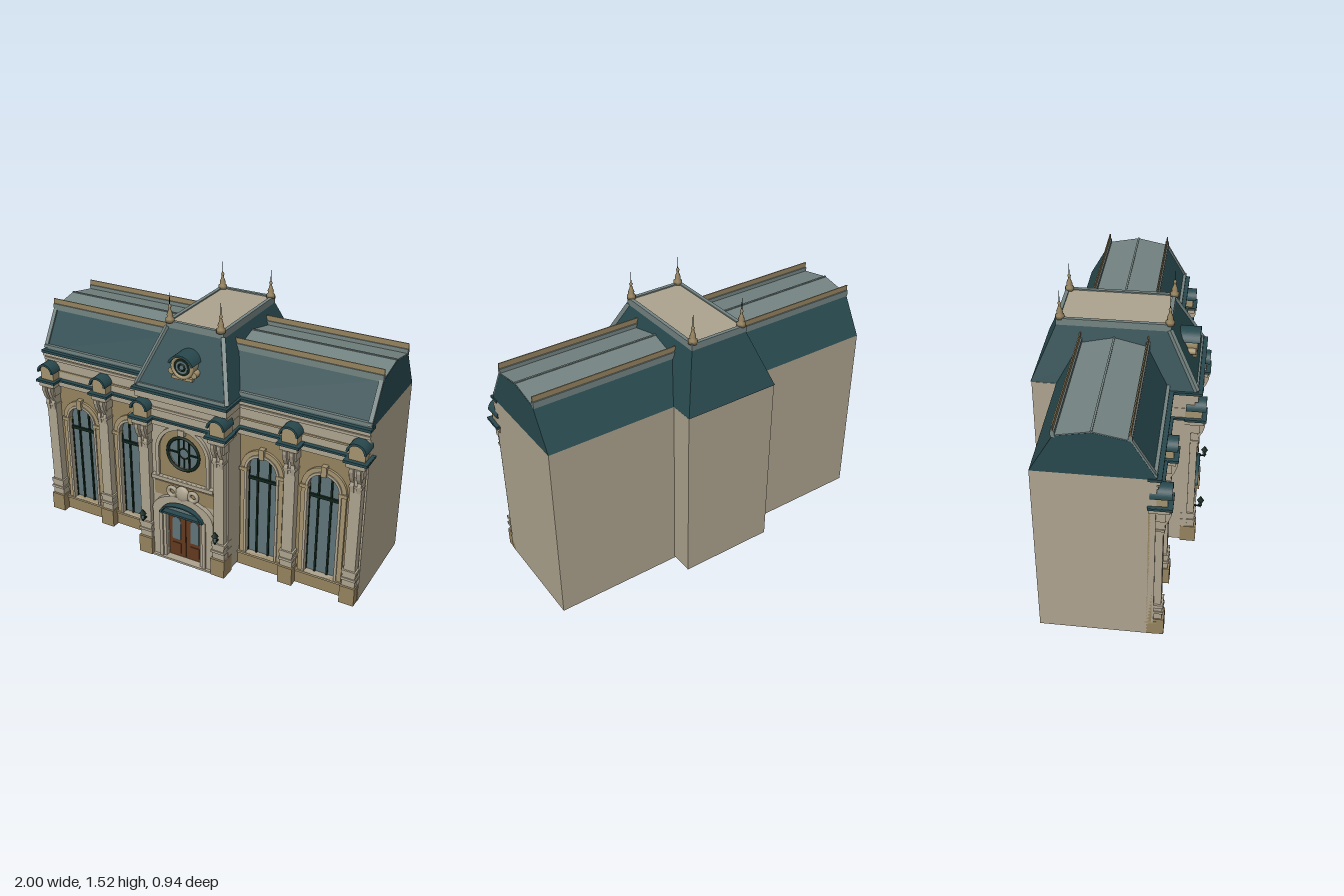
import * as THREE from 'three';

const mat = (name, color) => Object.assign(new THREE.MeshStandardMaterial({ color }), { name });
const M = {
  cream: mat('cream stone', 0xaea48f), tan: mat('tan stone', 0x96835f), sand: mat('sand stone', 0xa4936f),
  teal: mat('teal slate', 0x28494e), grey: mat('grey metal', 0x748482), glass: mat('glass', 0x60757a),
  iron: mat('dark green iron', 0x10241a), wood: mat('brown wood', 0x63391f),
};

export function createModel() {
  const root = new THREE.Group();
  root.name = 'building';
  let target = root;

  // ---- helpers ----
  const add = (name, geo, m) => {
    const mesh = new THREE.Mesh(geo, m);
    mesh.name = name;
    target.add(mesh);
    return mesh;
  };
  const group = (name, fn, x = 0, y = 0, z = 0) => {
    const old = target, g = new THREE.Group();
    g.name = name;
    g.position.set(x, y, z);
    old.add(g);
    target = g;
    fn();
    target = old;
  };
  const box = (name, m, x0, x1, y0, y1, z0, z1) =>
    add(name, new THREE.BoxGeometry(Math.abs(x1 - x0), y1 - y0, z1 - z0)
      .translate((x0 + x1) / 2, (y0 + y1) / 2, (z0 + z1) / 2), m);
  // Plate drawn in x,y and pushed from z0 to z1
  const plate = (name, m, shape, z0, z1) =>
    add(name, new THREE.ExtrudeGeometry(shape, { depth: z1 - z0, bevelEnabled: false, curveSegments: 14 })
      .translate(0, 0, z0), m);
  // Profile drawn in z,y and run along x
  const run = (name, m, pts, x0, x1) => {
    const s = new THREE.Shape(pts.map(p => new THREE.Vector2(p[0], p[1])));
    return add(name, new THREE.ExtrudeGeometry(s, { depth: Math.abs(x1 - x0), bevelEnabled: false })
      .rotateY(-Math.PI / 2).translate(Math.max(x0, x1), 0, 0), m);
  };
  const archShape = (cx, hw, y0, yc, Type = THREE.Shape) => {
    const s = new Type();
    s.moveTo(cx - hw, y0);
    s.lineTo(cx + hw, y0);
    s.lineTo(cx + hw, yc);
    s.absarc(cx, yc, hw, 0, Math.PI, false);
    s.lineTo(cx - hw, y0);
    return s;
  };
  const archRing = (cx, hwO, hwI, y0, yc) => {
    const s = archShape(cx, hwO, y0, yc);
    s.holes.push(archShape(cx, hwI, y0 + 0.0005, yc, THREE.Path));
    return s;
  };
  const arcBand = (cy, r0, r1, a0 = 0, a1 = Math.PI) => {
    const s = new THREE.Shape();
    s.absarc(0, cy, r1, a0, a1, false);
    s.absarc(0, cy, r0, a1, a0, true);
    return s;
  };
  const disc = (name, m, r, y, z0, z1) =>
    add(name, new THREE.CylinderGeometry(r, r, z1 - z0, 28).rotateX(Math.PI / 2).translate(0, y, (z0 + z1) / 2), m);
  const beam = (name, m, a, b, w) => {
    const A = new THREE.Vector3(...a), B = new THREE.Vector3(...b);
    const mesh = add(name, new THREE.BoxGeometry(w, w, A.distanceTo(B)), m);
    mesh.position.copy(A).lerp(B, 0.5);
    mesh.lookAt(B);
  };

  // ---- pilaster with pedestal, consoles and barrel cap ----
  const pilaster = (x, z) => group('pilaster', () => {
    const layers = [
      ['plinth', M.tan, 0.042, 0.068, 0.008, 0.115], ['pedestal', M.cream, 0.036, 0.056, 0.115, 0.155],
      ['pedestalRing', M.cream, 0.042, 0.064, 0.155, 0.17], ['pedestalNeck', M.cream, 0.036, 0.058, 0.17, 0.195],
      ['shaftRing', M.cream, 0.041, 0.062, 0.195, 0.215], ['shaft', M.cream, 0.031, 0.052, 0.215, 0.8],
      ['capitalRing', M.cream, 0.036, 0.058, 0.715, 0.728], ['capital', M.cream, 0.038, 0.062, 0.78, 0.84],
      ['abacus', M.cream, 0.05, 0.082, 0.84, 0.868], ['capLedge', M.teal, 0.063, 0.095, 0.868, 0.882],
      ['capBlock', M.sand, 0.043, 0.07, 0.882, 0.93],
    ];
    for (const [n, m, hw, d, y0, y1] of layers) box(n, m, -hw, hw, y0, y1, -0.02, d);
    for (const s of [-1, 1])
      run('console', M.cream, [[0.04, 0.68], [0.055, 0.69], [0.062, 0.73], [0.058, 0.75], [0.075, 0.78],
        [0.088, 0.82], [0.088, 0.84], [0.04, 0.84]], s * 0.008, s * 0.03);
    plate('lunette', M.sand, archShape(0, 0.041, 0.925, 0.93), -0.01, 0.074);
    plate('barrelCap', M.teal, arcBand(0.93, 0.041, 0.053), -0.015, 0.09);
  }, x, 0, z);

  // ---- wings ----
  const roofProfile = [[0.265, 1.04], [0.14, 1.25], [-0.035, 1.283], [-0.21, 1.25], [-0.33, 1.04]];
  for (const s of [-1, 1]) group(s > 0 ? 'leftWing' : 'rightWing', () => {
    const windows = [0.405 * s, 0.755 * s];
    const a = s * 0.26, b = s * 0.98, lo = Math.min(a, b), hi = Math.max(a, b);
    // front wall with arched openings
    const wall = new THREE.Shape([[lo, 0.01], [hi, 0.01], [hi, 0.85], [lo, 0.85]].map(p => new THREE.Vector2(...p)));
    for (const x of windows) wall.holes.push(archShape(x, 0.088, 0.095, 0.635, THREE.Path));
    plate('frontWall', M.tan, wall, 0.225, 0.25);
    box('base', M.tan, a, b, 0.01, 0.09, 0.23, 0.268);
    box('baseMoulding', M.sand, a, b, 0.085, 0.097, 0.215, 0.275);
    box('endWall', M.cream, s * 0.97, b, 0.01, 1.04, -0.33, 0.26);
    box('backWall', M.cream, a, b, 0.01, 1.04, -0.33, -0.32);
    for (const x of windows) group('window', () => {
      plate('windowSurround', M.sand, archRing(0, 0.125, 0.088, 0.097, 0.635), 0.24, 0.265);
      plate('windowInnerTrim', M.cream, archRing(0, 0.1, 0.086, 0.097, 0.635), 0.23, 0.272);
      box('keystone', M.sand, -0.015, 0.015, 0.715, 0.775, 0.25, 0.28);
      for (const k of [-1, 1]) box('impost', M.sand, k * 0.083, k * 0.13, 0.62, 0.64, 0.24, 0.274);
      plate('glass', M.glass, archShape(0, 0.09, 0.095, 0.635), 0.228, 0.234);
      for (const k of [-1, 1]) {
        box('mullion', M.iron, k * 0.03, k * 0.04, 0.095, 0.71, 0.222, 0.243);
        box('frameSide', M.iron, k * 0.083, k * 0.088, 0.095, 0.635, 0.224, 0.242);
      }
      box('transom', M.iron, -0.087, 0.087, 0.563, 0.58, 0.222, 0.246);
    }, x);
    // entablature and parapet
    box('parapet', M.cream, a, b, 0.84, 1.03, 0.22, 0.262);
    box('frieze', M.cream, a, b, 0.838, 0.868, 0.24, 0.278);
    box('ledge', M.teal, a, s * 1, 0.87, 0.881, 0.22, 0.288);
    box('parapetLine', M.sand, a, b, 0.922, 0.932, 0.24, 0.268);
    box('upperMoulding', M.cream, a, b, 0.985, 1.0, 0.24, 0.27);
    box('cornice', M.cream, a, b, 1.01, 1.03, 0.24, 0.278);
    box('gutter', M.teal, a, s * 0.985, 1.03, 1.045, 0.22, 0.285);
    for (const x of [0.577, 0.935]) pilaster(s * x, 0.245);
    // mansard roof with metal top and railings
    const r0 = s * 0.15;
    run('mansardRoof', M.teal, roofProfile, r0, b);
    run('metalTop', M.grey, [[0.14, 1.25], [0.14, 1.254], [-0.035, 1.288], [-0.21, 1.254], [-0.21, 1.25], [-0.035, 1.283]],
      r0, s * 0.979);
    box('ridgeSeam', M.grey, r0, s * 0.979, 1.282, 1.292, -0.04, -0.03);
    for (const z of [0.14, -0.21]) {
      box('edgeTrim', M.grey, s * 0.18, b, 1.243, 1.278, z - 0.01, z + 0.01);
      box('roofRail', M.tan, s * 0.18, b, 1.275, 1.307, z - 0.003, z + 0.003);
    }
    beam('roofFoot', M.grey, [a, 1.063, 0.254], [s * 0.978, 1.063, 0.254], 0.018);
    beam('roofEndTrim', M.grey, [s * 0.968, 1.05, 0.256], [s * 0.968, 1.25, 0.138], 0.022);
  });

  // ---- central tower ----
  group('tower', () => {
    for (const s of [-1, 1]) {
      box('sideWall', M.cream, s * 0.26, s * 0.27, 0.02, 1.04, -0.46, 0.37);
      pilaster(s * 0.23, 0.365);
    }
    box('backWall', M.cream, -0.27, 0.27, 0.02, 1.04, -0.46, -0.45);
    const front = new THREE.Shape([[-0.27, 0.01], [0.27, 0.01], [0.27, 0.85], [-0.27, 0.85]].map(p => new THREE.Vector2(...p)));
    front.holes.push(new THREE.Path().absarc(0, 0.69, 0.09, 0, Math.PI * 2, true));
    front.holes.push(new THREE.Path([[-0.105, 0.012], [-0.105, 0.31], [0.105, 0.31], [0.105, 0.012]].map(p => new THREE.Vector2(...p))));
    plate('frontWall', M.cream, front, 0.355, 0.38);
    box('parapet', M.cream, -0.27, 0.27, 0.84, 1.03, 0.3, 0.395);
    box('frieze', M.cream, -0.275, 0.275, 0.838, 0.868, 0.3, 0.405);
    box('ledge', M.teal, -0.285, 0.285, 0.87, 0.881, 0.28, 0.415);
    box('parapetMoulding', M.cream, -0.272, 0.272, 0.925, 0.94, 0.28, 0.402);
    box('upperMoulding', M.cream, -0.274, 0.274, 0.985, 1.03, 0.26, 0.412);
    box('cornice', M.teal, -0.285, 0.285, 1.03, 1.045, 0.25, 0.432);

    // round window in an arched panel
    const panel = archShape(0, 0.15, 0.53, 0.69);
    panel.holes.push(new THREE.Path().absarc(0, 0.69, 0.1, 0, Math.PI * 2, true));
    plate('windowPanel', M.tan, panel, 0.378, 0.386);
    plate('panelArch', M.cream, archRing(0, 0.165, 0.145, 0.53, 0.69), 0.378, 0.4);
    disc('roundGlass', M.glass, 0.095, 0.69, 0.368, 0.374);
    add('roundFrame', new THREE.TorusGeometry(0.096, 0.009, 6, 32).translate(0, 0.69, 0.386), M.iron);
    add('innerRing', new THREE.TorusGeometry(0.03, 0.004, 6, 20).translate(0, 0.69, 0.378), M.iron);
    for (const s of [-1, 1]) {
      box('roundMullion', M.iron, s * 0.028, s * 0.036, 0.605, 0.775, 0.37, 0.382);
      box('roundBar', M.iron, s * 0.03, s * 0.092, 0.686, 0.694, 0.37, 0.382);
      box('roundCentreBar', M.iron, -0.003, 0.003, 0.69 + s * 0.06 - 0.03, 0.69 + s * 0.06 + 0.03, 0.37, 0.38);
    }
    box('keystone', M.cream, -0.02, 0.02, 0.81, 0.845, 0.38, 0.412);
    box('windowLedge', M.cream, -0.19, 0.19, 0.508, 0.53, 0.37, 0.41);
    box('lowerPanel', M.tan, -0.185, 0.185, 0.4, 0.485, 0.378, 0.385);

    // door with arched portal, canopy and crest
    for (const s of [-1, 1]) {
      box('portalJamb', M.cream, s * 0.108, s * 0.19, 0.01, 0.31, 0.37, 0.405);
      box('portalEdge', M.cream, s * 0.125, s * 0.145, 0.01, 0.31, 0.37, 0.415);
      box('doorLeaf', M.wood, s * 0.002, s * 0.105, 0.01, 0.315, 0.362, 0.374);
      plate('doorGlass', M.glass, archShape(s * 0.058, 0.026, 0.125, 0.245), 0.36, 0.378);
      box('doorPanel', M.wood, s * 0.03, s * 0.086, 0.035, 0.1, 0.37, 0.379);
      add('crestScroll', new THREE.TorusGeometry(0.025, 0.012, 6, 14).translate(s * 0.065, 0.45, 0.4), M.cream);
    }
    const hood = arcBand(0.31, 0.13, 0.19, 0.01, Math.PI - 0.01);
    const arch = plate('portalArch', M.cream, hood, 0.37, 0.41);
    arch.scale.y = 0.62;
    arch.position.y = 0.31 * 0.38;
    const tym = plate('tympanum', M.glass, arcBand(0.31, 0.001, 0.13), 0.372, 0.384);
    tym.scale.y = 0.5;
    tym.position.y = 0.155;
    const canopy = plate('canopy', M.teal, arcBand(0.31, 0.122, 0.135), 0.37, 0.43);
    canopy.scale.y = 0.5;
    canopy.position.y = 0.155;
    box('canopyEdge', M.teal, -0.13, 0.13, 0.304, 0.316, 0.37, 0.42);
    const shell = add('crestShell', new THREE.SphereGeometry(1, 14, 8), M.cream);
    shell.scale.set(0.045, 0.048, 0.02);
    shell.position.set(0, 0.45, 0.4);
    box('step', M.cream, -0.19, 0.19, 0, 0.012, 0.35, 0.42);

    // wall lanterns
    for (const s of [-1, 1]) group('lantern', () => {
      const cyl = (n, m, rt, rb, y0, y1) => add(n, new THREE.CylinderGeometry(rt, rb, y1 - y0, 6).translate(0, (y0 + y1) / 2, 0), m);
      cyl('lanternTip', M.iron, 0.012, 0.002, 0.23, 0.252);
      cyl('lanternGlass', M.glass, 0.014, 0.009, 0.252, 0.285);
      cyl('lanternCap', M.iron, 0.003, 0.021, 0.283, 0.31);
      for (const k of [-1, 1]) box('lanternBar', M.iron, k * 0.009, k * 0.014, 0.25, 0.287, -0.003, 0.003);
      box('bracket', M.iron, -0.003, 0.003, 0.238, 0.246, -0.04, 0);
    }, s * 0.228, 0, 0.452);

    // steep hipped roof: a box whose upper corners are drawn in
    const roof = new THREE.BoxGeometry(1, 1, 1), p = roof.attributes.position;
    for (let i = 0; i < p.count; i++) {
      const up = p.getY(i) > 0, f = p.getZ(i) > 0;
      p.setXYZ(i, Math.sign(p.getX(i)) * (up ? 0.165 : 0.272), up ? 1.34 : 1.043, f ? (up ? 0.25 : 0.41) : (up ? -0.335 : -0.465));
    }
    roof.computeVertexNormals();
    add('towerRoof', roof, M.teal);
    box('roofDeck', M.cream, -0.15, 0.15, 1.34, 1.366, -0.32, 0.235);
    for (const s of [-1, 1]) {
      beam('hipTrim', M.grey, [s * 0.268, 1.05, 0.402], [s * 0.163, 1.34, 0.248], 0.022);
      box('deckSideCurb', M.grey, s * 0.148, s * 0.168, 1.335, 1.373, -0.338, 0.253);
    }
    box('deckFrontCurb', M.grey, -0.168, 0.168, 1.335, 1.373, 0.233, 0.253);
    box('deckBackCurb', M.grey, -0.168, 0.168, 1.335, 1.373, -0.338, -0.318);
    beam('roofFoot', M.grey, [-0.265, 1.057, 0.4], [0.265, 1.057, 0.4], 0.016);

    // corner finials
    const turned = [[0, 1.365], [0.024, 1.365], [0.024, 1.385], [0.015, 1.392], [0.017, 1.405], [0.008, 1.43],
      [0.006, 1.442], [0.01, 1.45], [0.003, 1.462], [0, 1.464]].map(q => new THREE.Vector2(...q));
    for (const x of [-0.149, 0.149]) for (const z of [0.245, -0.318]) group('finial', () => {
      add('finialBody', new THREE.LatheGeometry(turned, 10), M.tan);
      add('finialSpike', new THREE.CylinderGeometry(0.001, 0.003, 0.065, 5).translate(0, 1.49, 0), M.iron);
    }, x, 0, z);

    // round dormer
    group('dormer', () => {
      disc('dormerDrum', M.sand, 0.065, 1.195, 0.27, 0.378);
      add('dormerSurround', new THREE.TorusGeometry(0.056, 0.011, 8, 24).translate(0, 1.195, 0.378), M.sand);
      disc('dormerIron', M.iron, 0.046, 1.195, 0.37, 0.382);
      disc('dormerGlass', M.glass, 0.034, 1.195, 0.37, 0.385);
      add('dormerRing', new THREE.TorusGeometry(0.018, 0.005, 6, 18).translate(0, 1.195, 0.386), M.iron);
      plate('dormerHood', M.teal, arcBand(1.185, 0.068, 0.08, 0.4, Math.PI - 0.4), 0.26, 0.4);
      box('dormerSill', M.sand, -0.06, 0.06, 1.125, 1.142, 0.3, 0.385);
      for (const s of [-1, 1])
        add('dormerScroll', new THREE.CylinderGeometry(0.018, 0.018, 0.07, 12).rotateX(Math.PI / 2).translate(s * 0.066, 1.162, 0.345), M.sand);
    });
  });
  return root;
}
